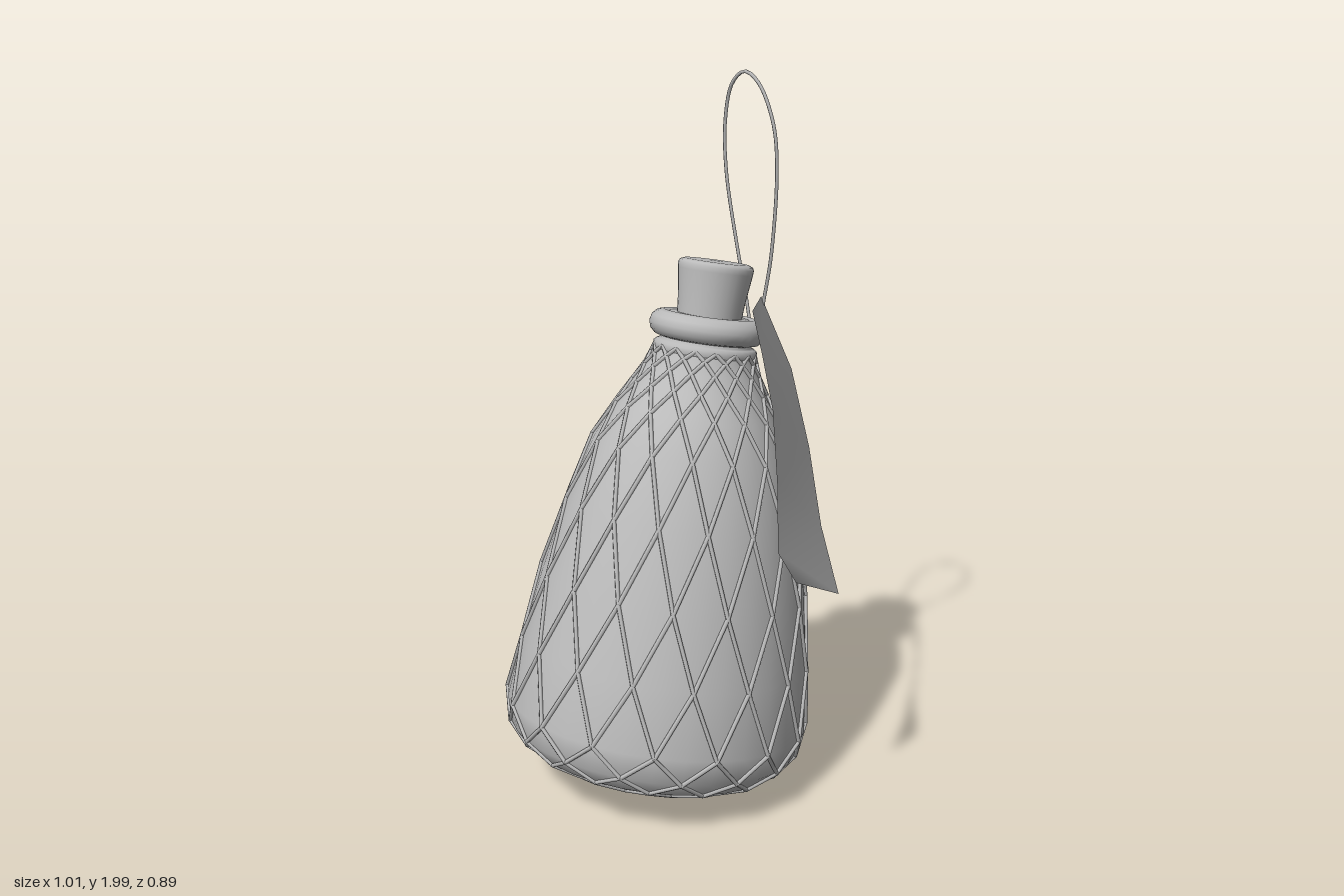
import * as THREE from 'three';
import { mergeGeometries } from 'three/addons/utils/BufferGeometryUtils.js';

const grey = new THREE.MeshStandardMaterial({ color: 0xbbbbbb });
grey.name = 'grey';
const sheetGrey = new THREE.MeshStandardMaterial({ color: 0xbbbbbb, side: THREE.DoubleSide });
sheetGrey.name = 'sheet grey';

function add(parent, name, geometry, material = grey) {
  const mesh = new THREE.Mesh(geometry, material);
  mesh.name = name;
  parent.add(mesh);
  return mesh;
}

const lathe = (points, sides) =>
  new THREE.LatheGeometry(points.map(([r, y]) => new THREE.Vector2(r, y)), sides);

// Rows of knots in the net, as radius and height along the bottle axis
const netRows = [
  [0.09, 0], [0.17, 0], [0.25, 0.003], [0.32, 0.014], [0.38, 0.04], [0.42, 0.085],
  [0.438, 0.16], [0.415, 0.34], [0.382, 0.54], [0.337, 0.75], [0.283, 0.93],
  [0.23, 1.035], [0.19, 1.1], [0.163, 1.15], [0.148, 1.185], [0.142, 1.21],
];

// Crossed cords between staggered rows of knots
function netGeometry(knots, radius) {
  const step = (Math.PI * 2) / knots;
  const up = new THREE.Vector3(0, 1, 0);
  const knot = (row, i) => {
    const [r, y] = netRows[row];
    const a = (i + (row % 2) / 2) * step;
    return new THREE.Vector3(Math.sin(a) * r, y, Math.cos(a) * r);
  };
  const cords = [];
  for (let row = 0; row < netRows.length - 1; row++) {
    for (let i = 0; i < knots; i++) {
      const from = knot(row, i);
      const first = row % 2 ? i : i - 1;
      for (const to of [knot(row + 1, first), knot(row + 1, first + 1)]) {
        const dir = to.clone().sub(from);
        const cord = new THREE.CylinderGeometry(radius, radius, dir.length() + radius, 6, 1, true);
        cord.applyQuaternion(new THREE.Quaternion().setFromUnitVectors(up, dir.normalize()));
        const mid = from.clone().add(to).multiplyScalar(0.5);
        cords.push(cord.translate(mid.x, mid.y, mid.z));
      }
    }
  }
  return mergeGeometries(cords);
}

// Bent paper tag: pairs of points on its two long edges, with a pointed end
function tagGeometry() {
  const rows = [
    [[0.125, 1.385, -0.167], [-0.025, 1.375, -0.365]],
    [[0.21, 1.29, -0.115], [0.03, 1.16, -0.44]],
    [[0.31, 1.17, -0.05], [0.19, 0.98, -0.34]],
    [[0.42, 1.02, 0.05], [0.33, 0.81, -0.235]],
    [[0.505, 0.88, 0.137], [0.46, 0.67, -0.16]],
  ];
  const index = [];
  for (let i = 0; i < rows.length - 1; i++) {
    const a = i * 2;
    index.push(a, a + 1, a + 2, a + 1, a + 3, a + 2);
  }
  const end = rows.length * 2;
  index.push(end - 2, end - 1, end);
  const geometry = new THREE.BufferGeometry();
  geometry.setAttribute('position',
    new THREE.Float32BufferAttribute([...rows.flat(2), 0.465, 0.755, 0.02], 3));
  geometry.setIndex(index);
  geometry.computeVertexNormals();
  return geometry;
}

export function createModel() {
  const model = new THREE.Group();
  model.name = 'hangingBottle';

  // Bottle leaning backwards
  const bottle = new THREE.Group();
  bottle.name = 'bottle';
  bottle.position.set(-0.065, 0.06, 0.04);
  bottle.rotation.x = -0.183;
  model.add(bottle);

  const body = [[0, 0], ...netRows.map(([r, y]) => [r * 0.993, y])];
  add(bottle, 'bottleBody', lathe(body, 32));

  // Neck with a rounded collar above the net
  add(bottle, 'neck', lathe([
    [0.14, 1.19], [0.146, 1.2], [0.146, 1.215], [0.138, 1.222], [0.128, 1.225],
    [0.125, 1.26], [0.125, 1.3], [0.09, 1.302],
  ], 32));
  const lip = new THREE.TorusGeometry(0.128, 0.037, 12, 36).rotateX(Math.PI / 2);
  add(bottle, 'lip', lip).position.y = 1.268;

  // Tapered cork with a softened top edge
  add(bottle, 'cork', lathe([
    [0.088, 1.25], [0.094, 1.34], [0.105, 1.425], [0.106, 1.438],
    [0.102, 1.447], [0.09, 1.452], [0, 1.453],
  ], 32));

  add(bottle, 'net', netGeometry(16, 0.006));

  // Hanging string, a closed loop tied behind the neck
  const path = new THREE.CatmullRomCurve3([
    [-0.045, 1.24, -0.362], [-0.085, 1.38, -0.363], [-0.115, 1.51, -0.358], [-0.148, 1.72, -0.345],
    [-0.145, 1.86, -0.336], [-0.115, 1.96, -0.33], [-0.065, 1.995, -0.327],
    [-0.015, 1.965, -0.33], [0.035, 1.86, -0.336], [0.043, 1.74, -0.345],
    [0.018, 1.51, -0.358], [-0.01, 1.38, -0.363],
  ].map((p) => new THREE.Vector3(...p)), true);
  add(model, 'string', new THREE.TubeGeometry(path, 90, 0.005, 6, true));

  add(model, 'tag', tagGeometry(), sheetGrey);
  return model;
}
